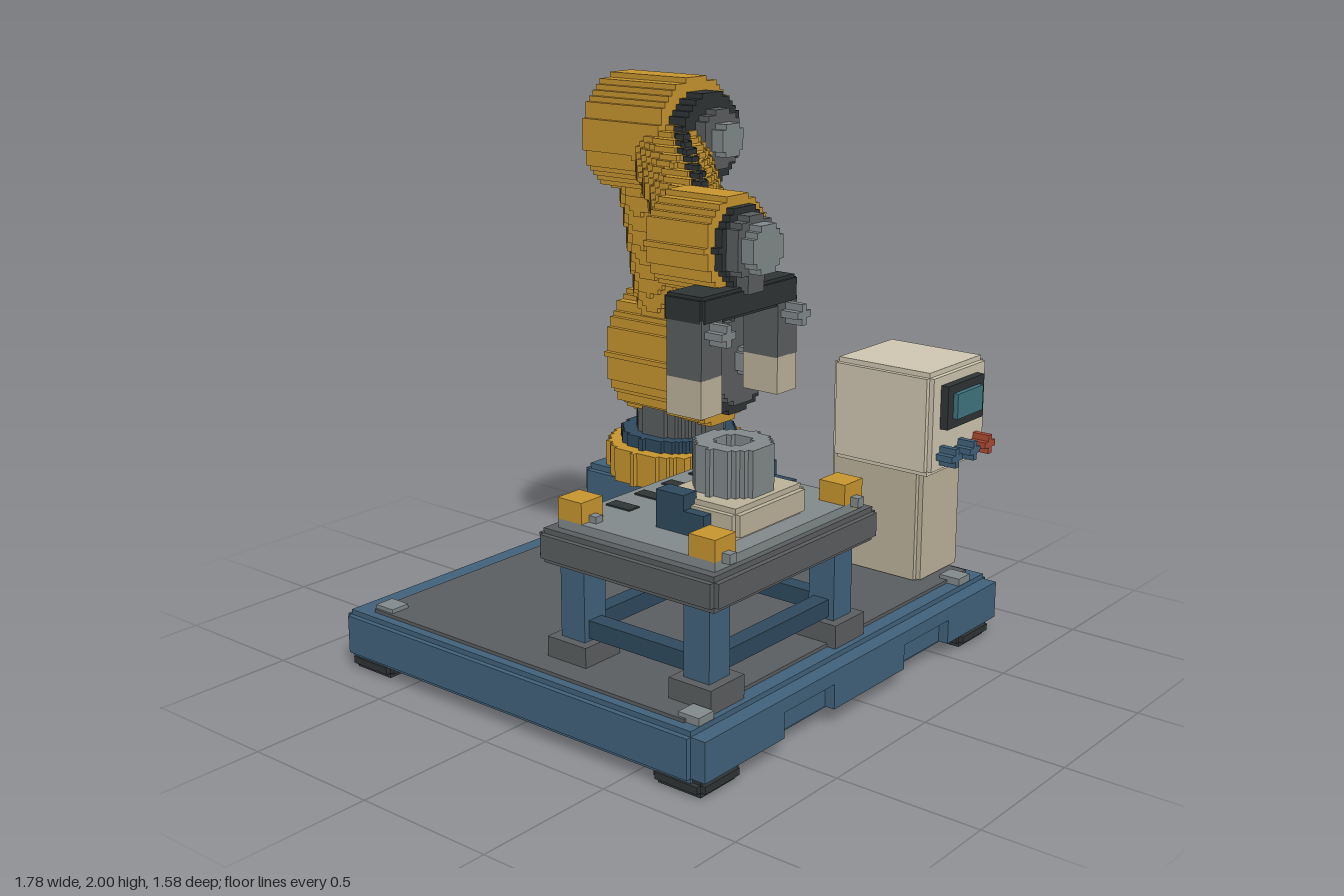
import * as THREE from 'three';
import { mergeGeometries } from 'three/addons/utils/BufferGeometryUtils.js';

const V = 0.018; // step size of the blocky surfaces
const YELLOW = 0xc8962f, BLUE = 0x41637c, NAVY = 0x2f4a5e, BLACK = 0x2f3435, DARK = 0x5b5e60,
  GREY = 0x828a8b, CREAM = 0xd0c7b2, SAND = 0xbdb39c, RED = 0xb04a33, TEAL = 0x417580;

const cuboid = (x0, x1, y0, y1, z0, z1) =>
  new THREE.BoxGeometry(x1 - x0, y1 - y0, z1 - z0).translate((x0 + x1) / 2, (y0 + y1) / 2, (z0 + z1) / 2);

// Box with notched edges: three boxes, each full length along one axis only
function notched(x0, x1, y0, y1, z0, z1, b = V) {
  return mergeGeometries([
    cuboid(x0, x1, y0 + b, y1 - b, z0 + b, z1 - b),
    cuboid(x0 + b, x1 - b, y0, y1, z0 + b, z1 - b),
    cuboid(x0 + b, x1 - b, y0 + b, y1 - b, z0, z1),
  ]);
}

// Stair-stepped circle outline
function steppedCircle(r, Type = THREE.Shape) {
  const n = Math.max(3, Math.round((2 * r) / V)), h = (2 * r) / n, right = [], left = [];
  for (let i = 0; i < n; i++) {
    const y = -r + (i + 0.5) * h;
    const w = Math.max(1, Math.round(Math.sqrt(r * r - y * y) / h)) * h;
    for (const e of [-h / 2, h / 2]) {
      right.push(new THREE.Vector2(w, y + e));
      left.unshift(new THREE.Vector2(-w, y + e));
    }
  }
  return new Type([...right, ...left]);
}

// Stepped cylinder along z
function drum(x, y, z0, z1, r, hole = 0) {
  const s = steppedCircle(r);
  if (hole) s.holes.push(steppedCircle(hole, THREE.Path));
  return new THREE.ExtrudeGeometry(s, { depth: z1 - z0, bevelEnabled: false }).translate(x, y, z0);
}
// Stepped cylinder along y
const column = (x, z, y0, y1, r, hole = 0) =>
  drum(0, 0, 0, y1 - y0, r, hole).rotateX(-Math.PI / 2).translate(x, y0, z);

// Small plus-shaped bolt head facing +z
const bolt = (x, y, z0, z1, r = 0.034) => mergeGeometries([
  cuboid(x - r, x + r, y - r / 3, y + r / 3, z0, z1), cuboid(x - r / 3, x + r / 3, y - r, y + r, z0, z1)]);

// Blocky tube along a path, tapering from r0 to r1; only exposed cell faces are made
function blockTube(pts, r0, r1 = r0) {
  const path = pts.map(p => new THREE.Vector3(...p));
  const box = new THREE.Box3().setFromPoints(path).expandByScalar(Math.max(r0, r1) + V);
  const lo = box.min, n = box.getSize(new THREE.Vector3()).divideScalar(V).ceil();
  const p = new THREE.Vector3(), q = new THREE.Vector3(), cells = new Set();
  const key = (i, j, k) => (i * 200 + j) * 200 + k;
  const lines = path.slice(1).map((b, i) => new THREE.Line3(path[i], b));
  for (let i = 0; i < n.x; i++) for (let j = 0; j < n.y; j++) for (let k = 0; k < n.z; k++) {
    p.set(i + 0.5, j + 0.5, k + 0.5).multiplyScalar(V).add(lo);
    if (lines.some(l => {
      const t = l.closestPointToPointParameter(p, true);
      return l.at(t, q).distanceTo(p) < r0 + (r1 - r0) * t;
    })) cells.add(key(i, j, k));
  }
  const pos = [], nor = [], idx = [];
  for (const c of cells) {
    const cell = [Math.floor(c / 40000), Math.floor(c / 200) % 200, c % 200];
    for (let a = 0; a < 3; a++) for (const s of [-1, 1]) {
      const next = [...cell];
      next[a] += s;
      if (cells.has(key(...next))) continue;
      const u = (a + 1) % 3, v = (a + 2) % 3, base = pos.length / 3;
      for (const [du, dv] of [[0, 0], [1, 0], [1, 1], [0, 1]]) {
        const w = [...cell];
        w[a] += s > 0 ? 1 : 0;
        w[u] += du;
        w[v] += dv;
        pos.push(lo.x + w[0] * V, lo.y + w[1] * V, lo.z + w[2] * V);
        nor.push(...[0, 1, 2].map(m => (m === a ? s : 0)));
      }
      for (const m of s > 0 ? [0, 1, 2, 0, 2, 3] : [0, 2, 1, 0, 3, 2]) idx.push(base + m);
    }
  }
  const g = new THREE.BufferGeometry();
  g.setAttribute('position', new THREE.Float32BufferAttribute(pos, 3));
  g.setAttribute('normal', new THREE.Float32BufferAttribute(nor, 3));
  return g.setIndex(idx);
}

export function createModel() {
  const root = new THREE.Group();
  const materials = {};
  const add = (name, color, ...geos) => {
    materials[color] ??= new THREE.MeshStandardMaterial({ color });
    for (const g of geos) {
      const m = new THREE.Mesh(g, materials[color]);
      m.name = name;
      root.add(m);
    }
  };

  // Base platform with two fork pockets in the front
  add('basePlatform', BLUE, notched(-0.89, 0.82, 0.04, 0.21, -0.79, 0.75),
    ...[[-0.872, -0.48], [-0.21, 0.2], [0.48, 0.802]].map(([a, b]) => cuboid(a, b, 0.058, 0.192, 0.72, 0.787)),
    cuboid(-0.5, 0.5, 0.145, 0.192, 0.72, 0.787));
  add('deckPlate', DARK, cuboid(-0.84, 0.77, 0.2, 0.222, -0.69, 0.68));
  for (const x of [-0.78, 0.68]) for (const z of [-0.68, 0.68])
    add('platformFoot', BLACK, notched(x - 0.1, x + 0.1, 0, 0.06, z - 0.1, z + 0.1));
  for (const x of [-0.795, 0.675]) for (const z of [-0.65, 0.69])
    add('deckCorner', GREY, cuboid(x - 0.036, x + 0.036, 0.2, 0.236, z - 0.04, z + 0.04));

  // Robot pedestal, turntable and neck
  add('pedestal', BLUE, notched(0.12, 0.61, 0.21, 0.53, -0.6, -0.09, 0.022));
  add('pedestalFrontPlate', YELLOW, cuboid(0.2, 0.52, 0.26, 0.51, -0.1, -0.07));
  add('pedestalBolt', GREY, bolt(0.19, 0.31, -0.1, -0.055), bolt(0.53, 0.31, -0.1, -0.055));
  add('rearConnector', NAVY, cuboid(0.23, 0.51, 0.28, 0.47, -0.635, -0.59));
  add('rearConnectorCap', DARK, cuboid(0.3, 0.45, 0.335, 0.42, -0.67, -0.63));
  add('turntable', YELLOW, column(0.36, -0.33, 0.5, 0.625, 0.26));
  add('turntableRing', NAVY, column(0.36, -0.33, 0.62, 0.67, 0.21));
  add('neck', DARK, column(0.36, -0.32, 0.66, 0.85, 0.16));

  // Shoulder
  add('shoulderDrum', YELLOW, drum(0.355, 0.98, -0.457, -0.117, 0.257));
  add('shoulderRing', BLACK, drum(0.355, 0.98, -0.13, -0.05, 0.205));
  add('shoulderCap', DARK, drum(0.355, 0.98, -0.06, -0.025, 0.165));
  add('shoulderHub', GREY, drum(0.355, 0.98, -0.03, 0.035, 0.05));
  add('shoulderBackPlate', DARK, cuboid(0.31, 0.4, 0.68, 0.96, -0.485, -0.45));

  // Upper arm and elbow
  add('upperArm', YELLOW, blockTube([[0.345, 1.02, -0.285], [0.11, 1.76, -0.225]], 0.155, 0.14));
  add('elbowDrum', YELLOW, drum(0.1, 1.8, -0.375, -0.037, 0.2));
  add('elbowRing', BLACK, drum(0.1, 1.8, -0.05, 0.033, 0.152));
  add('elbowCap', DARK, drum(0.1, 1.8, 0.02, 0.075, 0.1));
  add('elbowHub', GREY, drum(0.1, 1.8, 0.06, 0.12, 0.055));

  // Forearm with a cable along its top, and wrist
  add('forearm', YELLOW, blockTube([[0.08, 1.785, -0.16], [-0.35, 1.565, 0.34]], 0.125, 0.11));
  add('forearmCable', BLACK, blockTube([[-0.03, 1.84, -0.01], [-0.3, 1.695, 0.31]], 0.022));
  add('wristDrum', YELLOW, drum(-0.36, 1.56, 0.257, 0.497, 0.153));
  add('wristRing', BLACK, drum(-0.36, 1.56, 0.48, 0.525, 0.12));
  add('wristCap', DARK, drum(-0.36, 1.56, 0.51, 0.57, 0.1));
  add('wristHub', GREY, drum(-0.36, 1.56, 0.56, 0.615, 0.075));

  // Gripper
  add('gripperMount', DARK, cuboid(-0.4, -0.32, 1.42, 1.52, 0.44, 0.57));
  add('gripperBar', BLACK, notched(-0.6, -0.12, 1.35, 1.44, 0.4, 0.555, 0.01));
  for (const x of [-0.55, -0.17]) {
    add('gripperFinger', DARK, cuboid(x - 0.05, x + 0.05, 1.185, 1.37, 0.415, 0.55));
    add('fingerPad', SAND, cuboid(x - 0.05, x + 0.05, 1.067, 1.187, 0.415, 0.55));
    add('fingerBolt', GREY, bolt(x, 1.325, 0.54, 0.615));
  }

  // Hoses
  add('armHose', BLACK, blockTube([[0.12, 1.79, -0.39], [0.66, 1.01, -0.49], [0.54, 0.57, -0.5]], 0.036));
  add('floorCable', BLACK, blockTube([[0.58, 0.28, -0.16], [0.64, 0.28, -0.14], [0.695, 0.28, -0.06], [0.695, 0.28, 0.24]], 0.034));

  // Work table
  add('tableSlab', DARK, notched(-0.77, 0.097, 0.54, 0.655, 0.017, 0.74));
  add('tablePlate', GREY, cuboid(-0.72, 0.05, 0.64, 0.685, 0.07, 0.7));
  for (const x of [-0.67, -0.02]) for (const z of [0.125, 0.63]) {
    add('tableLeg', BLUE, cuboid(x - 0.05, x + 0.05, 0.27, 0.55, z - 0.05, z + 0.05));
    add('tableFoot', DARK, cuboid(x - 0.082, x + 0.082, 0.21, 0.29, z - 0.082, z + 0.082));
  }
  for (const z of [0.125, 0.63]) add('tableRail', NAVY, cuboid(-0.63, -0.06, 0.3, 0.36, z - 0.03, z + 0.03));
  for (const x of [-0.67, -0.02]) add('tableSideRail', NAVY, cuboid(x - 0.03, x + 0.03, 0.3, 0.36, 0.17, 0.58));
  for (const x of [-0.67, 0]) for (const z of [0.118, 0.65]) {
    add('cornerBlock', YELLOW, cuboid(x - 0.05, x + 0.05, 0.66, 0.755, z - 0.05, z + 0.05));
    add('cornerStud', GREY, cuboid(x - 0.016, x + 0.016, 0.675, 0.707, z + 0.04, z + 0.08));
  }
  for (let i = 0; i < 4; i++)
    add('tableSlot', BLACK, cuboid(-0.53 + i * 0.14, -0.48 + i * 0.14, 0.67, 0.69, 0.1, 0.2));

  // Workpiece and its clamps
  add('workpieceBlock', SAND, notched(-0.55, -0.18, 0.68, 0.787, 0.33, 0.648));
  add('workpieceRing', GREY, column(-0.365, 0.49, 0.78, 0.94, 0.12, 0.055));
  for (const x of [-0.555, -0.14]) {
    add('clamp', NAVY, cuboid(x - 0.032, x + 0.032, 0.68, 0.76, 0.36, 0.55));
    add('clampJaw', NAVY, cuboid(x - 0.032, x + 0.032, 0.75, 0.81, 0.36, 0.47));
  }

  // Control cabinet
  add('cabinetLower', SAND, notched(0.545, 0.82, 0.21, 0.66, 0.23, 0.615));
  add('cabinetUpper', CREAM, notched(0.48, 0.853, 0.64, 1.01, 0.275, 0.685));
  add('screenBezel', BLACK, cuboid(0.545, 0.782, 0.805, 0.96, 0.67, 0.715));
  add('screen', TEAL, cuboid(0.58, 0.747, 0.84, 0.93, 0.7, 0.733));
  [[0.56, BLUE], [0.68, BLUE], [0.782, RED]].forEach(([x, c]) => add('button', c, bolt(x, 0.708, 0.67, 0.75)));
  add('ventPanel', GREY, cuboid(0.81, 0.866, 0.35, 0.57, 0.33, 0.52));
  for (const y of [0.417, 0.5]) add('ventSlot', DARK, cuboid(0.86, 0.888, y - 0.018, y + 0.018, 0.37, 0.485));
  return root;
}
